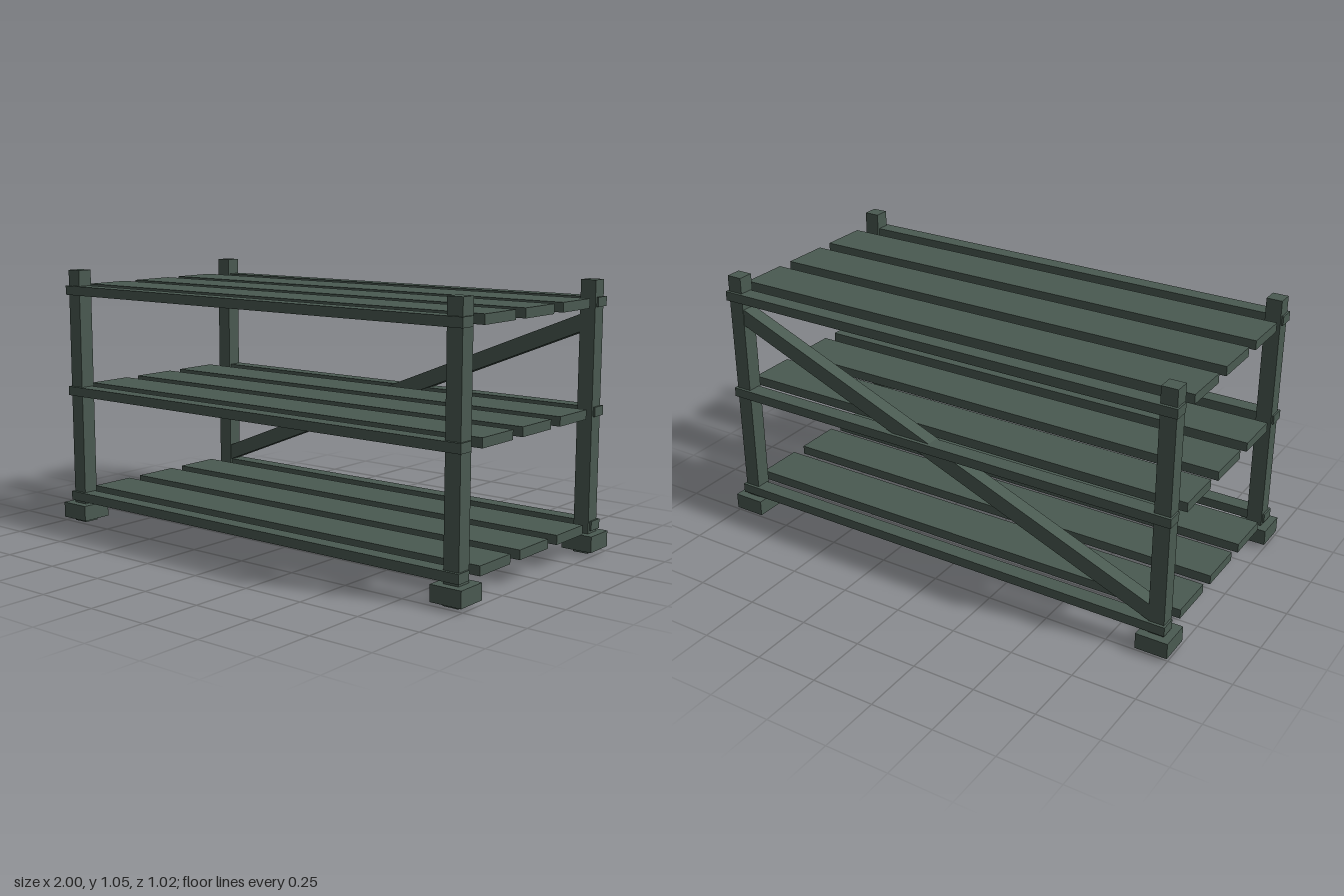
import * as THREE from 'three';

export function createModel() {
  const group = new THREE.Group();
  const paint = new THREE.MeshStandardMaterial({ color: 0x4a5a51 });
  paint.name = 'dark green paint';

  function box(name, w, h, d, x, y, z) {
    const mesh = new THREE.Mesh(new THREE.BoxGeometry(w, h, d), paint);
    mesh.name = name;
    mesh.position.set(x, y, z);
    group.add(mesh);
    return mesh;
  }

  const postX = 0.936, postZ = 0.446, postSize = 0.063, height = 1.055;

  // Corner posts, each passing through a square foot block
  for (const sx of [-1, 1]) {
    for (const sz of [-1, 1]) {
      box('post', postSize, height, postSize, sx * postX, height / 2, sz * postZ);
      box('foot', 0.128, 0.063, 0.128, sx * postX, 0.047, sz * postZ);
    }
  }

  // Three levels: a front and a back rail with three planks between
  for (const y of [0.108, 0.554, 0.972]) {
    for (const sz of [-1, 1]) box('rail', 1.95, 0.037, 0.064, 0, y, sz * 0.457);
    for (const z of [-0.26, 0, 0.26]) box('shelfPlank', 1.95, 0.037, 0.195, 0, y, z);
  }

  // Diagonal brace across the back, ending inside the posts
  const brace = box('backBrace', 1.97, 0.063, 0.058, 0, 0.525, -postZ);
  brace.rotation.z = Math.atan2(0.73, 1.81);

  return group;
}
